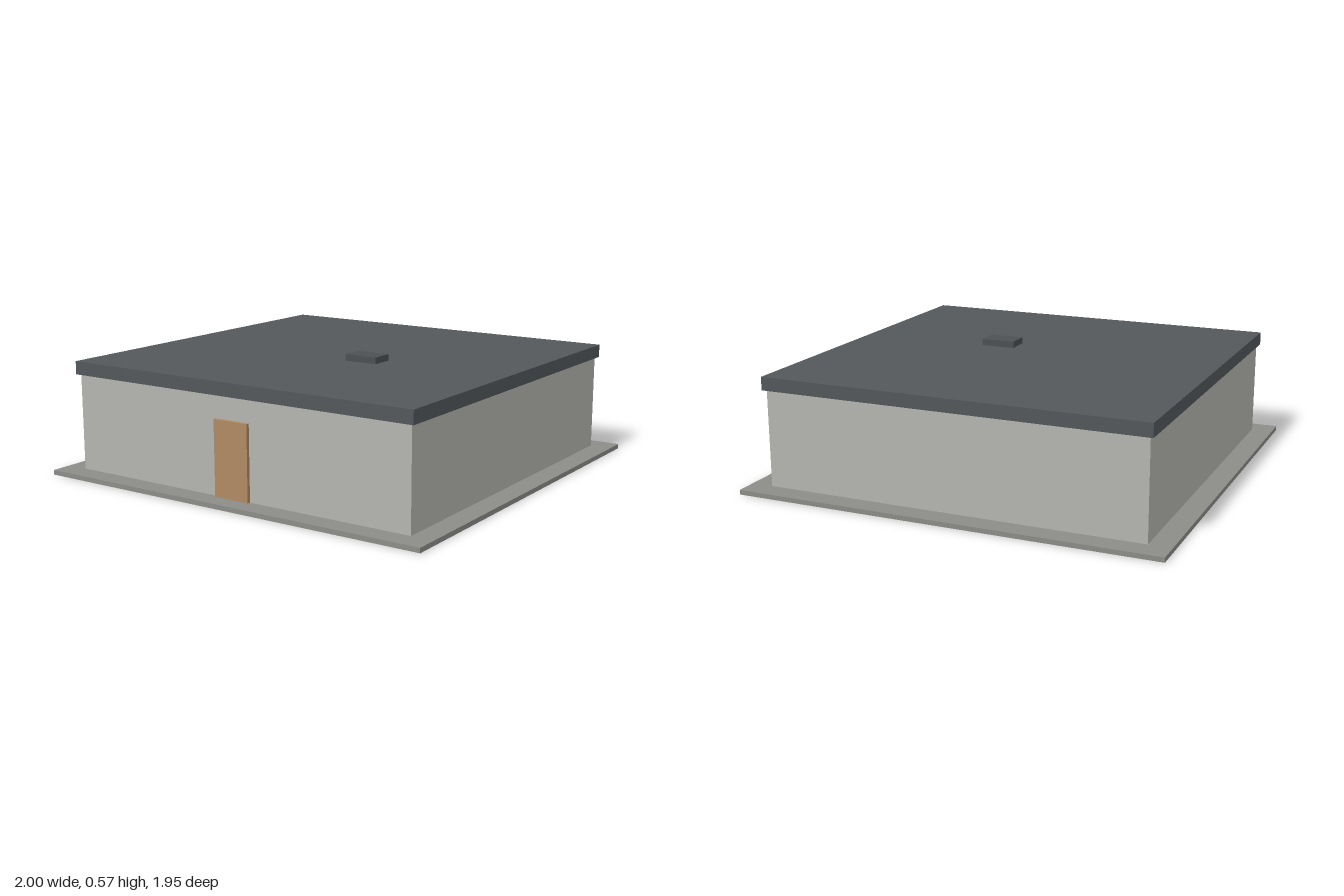
import * as THREE from 'three';

export function createModel() {
  const house = new THREE.Group();
  house.name = 'flatRoofBuilding';

  // Box given by its lower and upper limits on each axis
  function block(name, color, [x0, x1], [y0, y1], [z0, z1]) {
    const mesh = new THREE.Mesh(
      new THREE.BoxGeometry(x1 - x0, y1 - y0, z1 - z0),
      new THREE.MeshStandardMaterial({ color })
    );
    mesh.name = name;
    mesh.position.set((x0 + x1) / 2, (y0 + y1) / 2, (z0 + z1) / 2);
    house.add(mesh);
  }

  // Paved base and walls
  block('baseSlab', 0x8c8c88, [-1, 1], [0, 0.022], [-0.977, 0.977]);
  block('walls', 0xb5b5b0, [-0.896, 0.896], [0.022, 0.475], [-0.874, 0.874]);

  // Overhanging flat roof with a small hatch
  block('roof', 0x54585b, [-0.912, 0.912], [0.475, 0.537], [-0.89, 0.89]);
  block('roofHatch', 0x4c5053, [0.112, 0.277], [0.537, 0.567], [0.068, 0.178]);

  // Door standing slightly proud of the front wall
  block('door', 0xb08a62, [-0.09, 0.09], [0.022, 0.37], [0.86, 0.89]);

  return house;
}
